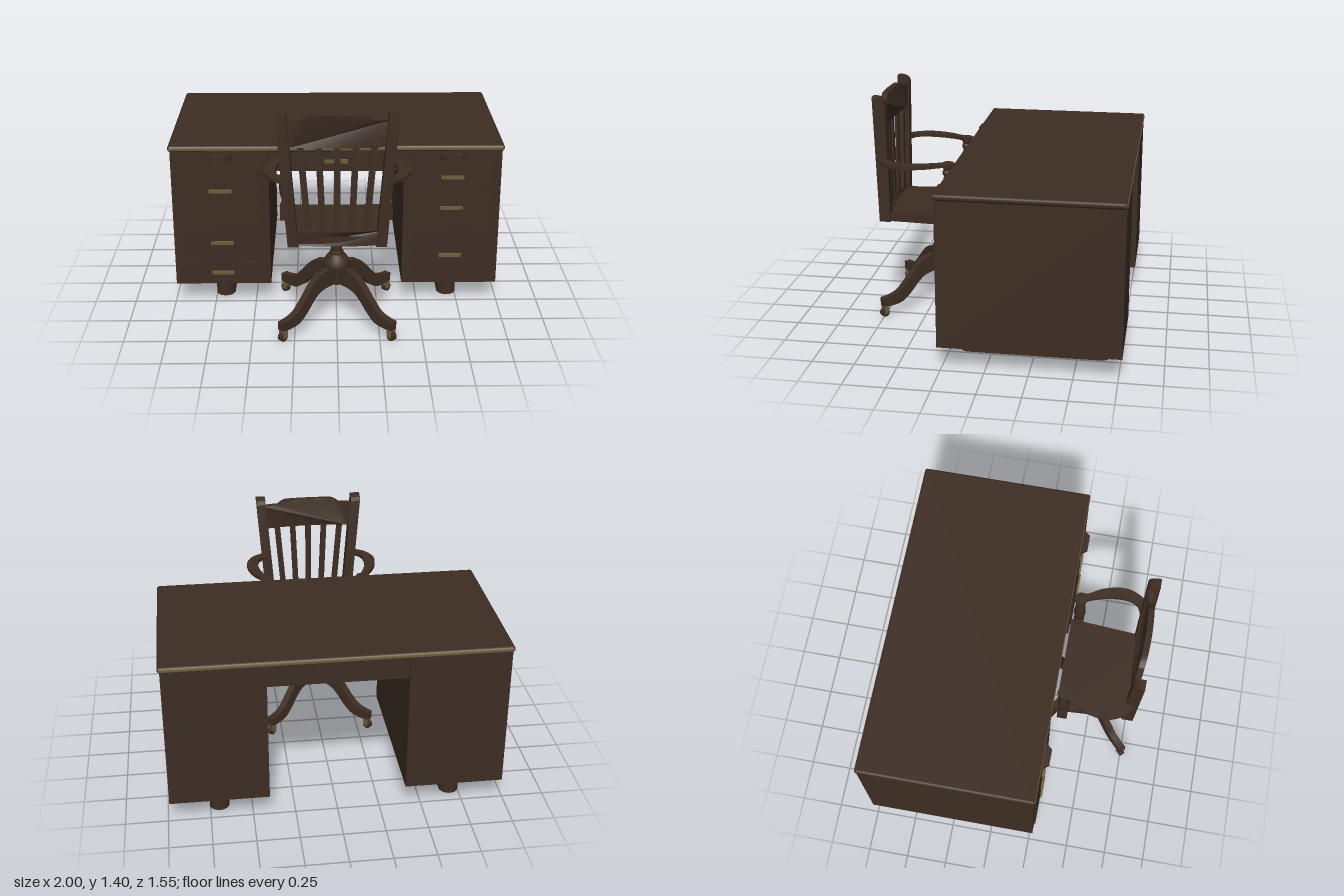
import * as THREE from 'three';
import { toCreasedNormals } from 'three/addons/utils/BufferGeometryUtils.js';
import { RoundedBoxGeometry } from 'three/addons/geometries/RoundedBoxGeometry.js';

const wood = new THREE.MeshStandardMaterial({ color: 0x3d2d23 });
wood.name = 'dark wood';
const brass = new THREE.MeshStandardMaterial({ color: 0x6e5d3f });
brass.name = 'aged brass';

const V2 = (p) => new THREE.Vector2(p[0], p[1]);

function add(parent, name, geometry, material = wood, x = 0, y = 0, z = 0) {
  const mesh = new THREE.Mesh(geometry, material);
  mesh.name = name;
  mesh.position.set(x, y, z);
  parent.add(mesh);
  return mesh;
}

// Box given by its lower and upper limits on each axis
function box(parent, name, [x0, x1], [y0, y1], [z0, z1], material = wood) {
  return add(parent, name, new THREE.BoxGeometry(x1 - x0, y1 - y0, z1 - z0), material,
    (x0 + x1) / 2, (y0 + y1) / 2, (z0 + z1) / 2);
}

function extrude(shape, depth) {
  const g = new THREE.ExtrudeGeometry(shape, { depth, bevelEnabled: false, curveSegments: 12 });
  return toCreasedNormals(g, 0.6);
}

function lathe(points, segments = 24) {
  return toCreasedNormals(new THREE.LatheGeometry(points.map(V2), segments), 0.7);
}

// Straight bar of rectangular section leaning from one point to another in x
function leaningBar(parent, name, xBottom, xTop, y0, y1, z, width, depth) {
  const g = new THREE.BoxGeometry(width, y1 - y0, depth);
  const p = g.attributes.position;
  for (let i = 0; i < p.count; i++) p.setX(i, p.getX(i) + (p.getY(i) > 0 ? xTop : xBottom));
  g.computeVertexNormals();
  return add(parent, name, g, wood, 0, (y0 + y1) / 2, z);
}

// Rail with a shaped top edge, bowed outwards in the middle
function bowedRail(parent, name, half, y0, topAt, z, depth, bow) {
  const pts = [];
  const n = 24;
  for (let i = 0; i <= n; i++) pts.push([-half + (2 * half * i) / n, y0]);
  for (let i = n; i >= 0; i--) {
    const x = -half + (2 * half * i) / n;
    pts.push([x, topAt(Math.abs(x))]);
  }
  const g = new THREE.ExtrudeGeometry(new THREE.Shape(pts.map(V2)), { depth, bevelEnabled: false });
  const p = g.attributes.position;
  for (let i = 0; i < p.count; i++) p.setZ(i, p.getZ(i) + bow * (1 - (p.getX(i) / half) ** 2));
  g.computeVertexNormals();
  add(parent, name, toCreasedNormals(g, 0.5), wood, 0, 0, z);
}

function makeDesk() {
  const desk = new THREE.Group();
  desk.name = 'desk';

  // Top with brass-coloured front and back edges
  add(desk, 'deskTop', new RoundedBoxGeometry(2, 0.038, 1.056, 4, 0.017),
    [wood, wood, wood, wood, brass, brass], 0, 1.021, -0.248);
  box(desk, 'centreDrawer', [-0.41, 0.41], [0.87, 1.004], [-0.755, 0.25]);
  box(desk, 'centreHandle', [-0.07, 0.07], [0.925, 0.945], [0.25, 0.265], brass);

  const layouts = {
    right: [-1, [[0.545, 0.915, 0.755], [0.315, 0.51, 0.415], [0.15, 0.285, 0.215]]],
    left: [1, [[0.77, 0.915, 0.84], [0.545, 0.74, 0.642], [0.15, 0.51, 0.327]]],
  };
  for (const [side, [s, drawers]] of Object.entries(layouts)) {
    const pedestal = new THREE.Group();
    pedestal.name = side + 'Pedestal';
    desk.add(pedestal);
    const c = 0.695 * s;
    box(pedestal, 'cabinet', [c - 0.292, c + 0.292], [0.135, 1.004], [-0.77, 0.272]);

    // Drawer fronts and their pulls
    for (const [y0, y1, yh] of drawers) {
      box(pedestal, 'drawerFront', [c - 0.23, c + 0.23], [y0, y1], [0.265, 0.28]);
      box(pedestal, 'drawerHandle', [c - 0.068, c + 0.068], [yh - 0.01, yh + 0.01], [0.275, 0.292], brass);
    }

    // Pull-out writing slide with a tapered grip
    box(pedestal, 'writingSlide', [c - 0.23, c + 0.23], [0.95, 0.99], [0.265, 0.28]);
    const grip = extrude(new THREE.Shape([[-0.08, 0], [0.08, 0], [0.045, 0.04], [-0.045, 0.04]].map(V2)), 0.035);
    grip.rotateX(Math.PI / 2);
    add(pedestal, 'slideGrip', grip, wood, c, 0.987, 0.278);

    // Round-ended plinth
    const r = 0.058;
    const plinth = new THREE.Shape();
    plinth.absarc(0, 0.19 - r, r, 0, Math.PI);
    plinth.absarc(0, -0.69 + r, r, Math.PI, 2 * Math.PI);
    plinth.closePath();
    const g = extrude(plinth, 0.13);
    g.rotateX(Math.PI / 2);
    add(pedestal, 'plinth', g, wood, c, 0.137, 0);
  }
  return desk;
}

function makeSwivelBase() {
  const base = new THREE.Group();
  base.name = 'swivelBase';

  add(base, 'column', lathe([[0, 0.22], [0.04, 0.22], [0.045, 0.33], [0.08, 0.335], [0.083, 0.35],
    [0.076, 0.375], [0.06, 0.4], [0.042, 0.418], [0.042, 0.43], [0.033, 0.435], [0.033, 0.565],
    [0.045, 0.57], [0.06, 0.583], [0.066, 0.6], [0.066, 0.618], [0, 0.618]]));

  // One curved leg, drawn from the hub outwards
  const leg = new THREE.Shape();
  leg.moveTo(0.0, 0.335);
  leg.lineTo(0.09, 0.338);
  leg.splineThru([[0.16, 0.325], [0.22, 0.28], [0.29, 0.205], [0.35, 0.15], [0.41, 0.13], [0.465, 0.125]].map(V2));
  leg.lineTo(0.465, 0.072);
  leg.splineThru([[0.4, 0.068], [0.33, 0.078], [0.27, 0.12], [0.21, 0.18], [0.16, 0.215], [0.1, 0.228]].map(V2));
  leg.lineTo(0, 0.228);
  const legGeometry = extrude(leg, 0.044);
  legGeometry.translate(0, 0, -0.022);

  for (let i = 0; i < 4; i++) {
    const arm = new THREE.Group();
    arm.name = 'baseLeg';
    arm.rotation.y = Math.PI / 4 + (i * Math.PI) / 2;
    base.add(arm);
    add(arm, 'leg', legGeometry);
    // Caster
    add(arm, 'casterStem', new THREE.CylinderGeometry(0.014, 0.014, 0.04, 12), brass, 0.44, 0.062, 0);
    for (const s of [-1, 1]) {
      add(arm, 'casterFork', new THREE.BoxGeometry(0.03, 0.045, 0.006), brass, 0.445, 0.045, s * 0.019);
    }
    const wheel = new THREE.CylinderGeometry(0.027, 0.027, 0.03, 16);
    wheel.rotateX(Math.PI / 2);
    add(arm, 'casterWheel', wheel, wood, 0.45, 0.027, 0);
  }
  return base;
}

function makeChair() {
  const chair = new THREE.Group();
  chair.name = 'chair';
  const base = makeSwivelBase();
  base.position.z = 0.43;
  chair.add(base);

  // Seat, tapering towards the back
  const seat = new THREE.Shape();
  seat.moveTo(-0.3, 0.29);
  seat.lineTo(0.3, 0.29);
  seat.lineTo(0.27, 0.74);
  seat.quadraticCurveTo(0, 0.785, -0.27, 0.74);
  const seatGeometry = extrude(seat, 0.054);
  seatGeometry.rotateX(Math.PI / 2);
  add(chair, 'seat', seatGeometry, wood, 0, 0.67, 0);

  // Backrest rails and fanned slats
  bowedRail(chair, 'lowerRail', 0.275, 0.616, () => 0.705, 0.71, 0.035, 0.025);
  bowedRail(chair, 'crestRail', 0.3, 1.205,
    (x) => (x < 0.17 ? 1.388 : x < 0.19 ? 1.378 : 1.36), 0.705, 0.035, 0.028);
  for (let i = -2; i <= 2; i++) {
    leaningBar(chair, 'backSlat', i * 0.082, i * 0.103, 0.69, 1.22, 0.745 - 0.004 * i * i, 0.036, 0.018);
  }

  const armPost = lathe([[0, 0.67], [0.03, 0.67], [0.033, 0.69], [0.024, 0.705], [0.02, 0.72], [0.03, 0.755],
    [0.037, 0.8], [0.034, 0.85], [0.026, 0.91], [0.022, 0.935], [0.03, 0.945], [0.03, 0.96], [0.023, 0.97],
    [0.03, 0.992], [0, 0.992]], 20);

  for (const s of [-1, 1]) {
    // Back post with a rounded top corner
    const post = new THREE.Shape();
    post.moveTo(0.7, 0.612);
    post.lineTo(0.77, 0.612);
    post.lineTo(0.775, 1.405);
    post.quadraticCurveTo(0.705, 1.405, 0.702, 1.36);
    const g = extrude(post, 0.06);
    g.rotateY(-Math.PI / 2);
    g.translate(0.03, 0, 0);
    const p = g.attributes.position;
    for (let i = 0; i < p.count; i++) {
      p.setX(i, p.getX(i) + s * (0.25 + (0.06 * (p.getY(i) - 0.612)) / 0.793));
    }
    add(chair, 'backPost', g);

    // Turned front post on a square block
    box(chair, 'postBlock', [s * 0.305 - 0.031, s * 0.305 + 0.031], [0.6, 0.678], [0.304, 0.366]);
    add(chair, 'armPost', armPost, wood, s * 0.305, 0, 0.335);

    // Bowed armrest
    const rest = new THREE.Shape();
    rest.moveTo(s * 0.265, 0.315);
    rest.splineThru([[0.305, 0.292], [0.342, 0.32], [0.345, 0.37], [0.39, 0.45], [0.417, 0.55],
      [0.412, 0.63], [0.37, 0.71], [0.3, 0.755]].map(([x, z]) => new THREE.Vector2(s * x, z)));
    rest.lineTo(s * 0.27, 0.7);
    rest.splineThru([[0.32, 0.675], [0.345, 0.62], [0.347, 0.55], [0.335, 0.47], [0.3, 0.375],
      [0.27, 0.355], [0.265, 0.315]].map(([x, z]) => new THREE.Vector2(s * x, z)));
    const restGeometry = extrude(rest, 0.022);
    restGeometry.rotateX(Math.PI / 2);
    add(chair, 'armrest', restGeometry, wood, 0, 1.012, 0);
  }
  return chair;
}

export function createModel() {
  const model = new THREE.Group();
  model.name = 'deskAndChair';
  model.add(makeDesk(), makeChair());
  return model;
}
